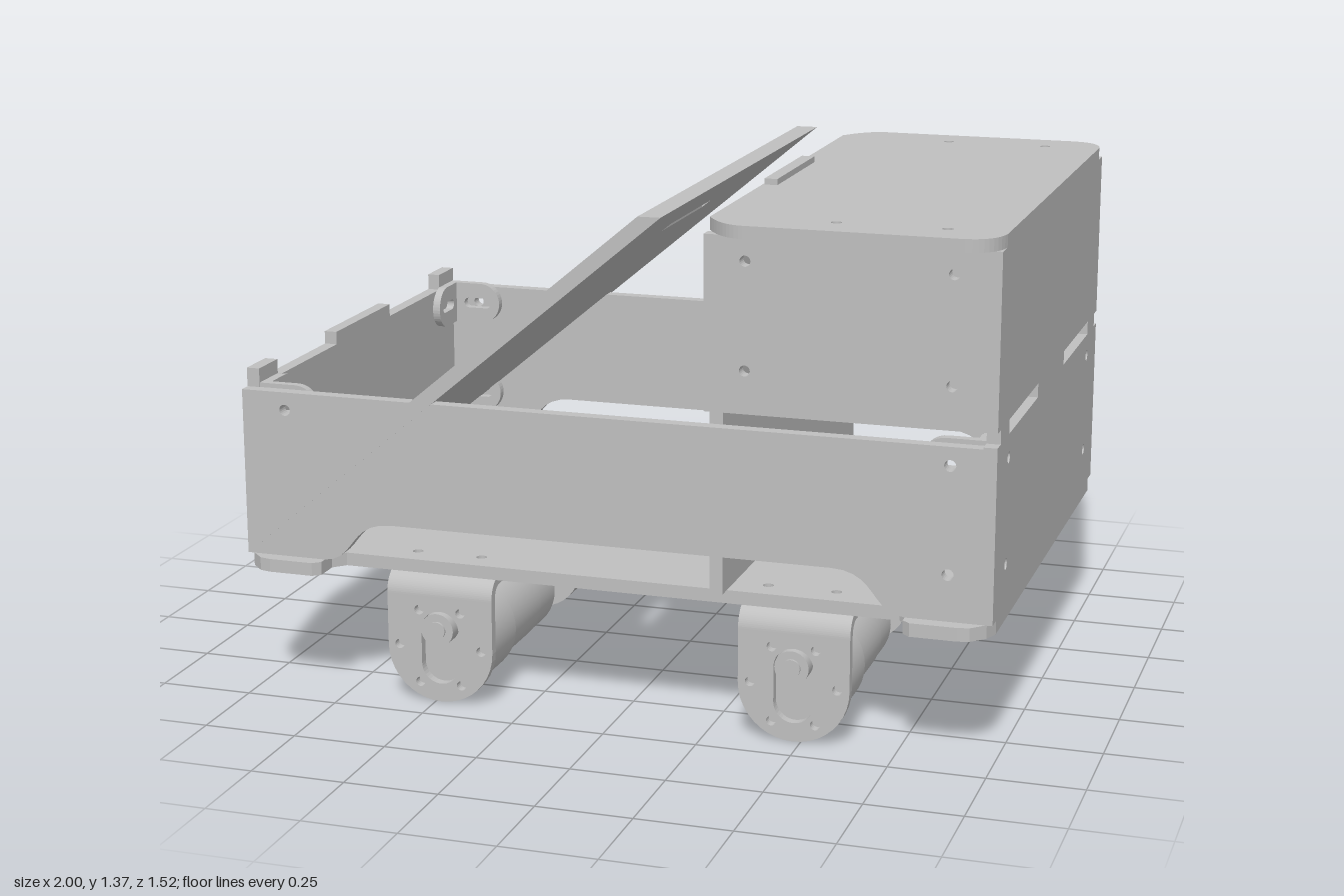
import * as THREE from 'three';

const grey = new THREE.MeshStandardMaterial({ color: 0xbfbfbf });
grey.name = 'plain grey';
const T = 0.035; // sheet thickness

function add(parent, geo, name, x = 0, y = 0, z = 0) {
  const m = new THREE.Mesh(geo, grey);
  m.name = name;
  m.position.set(x, y, z);
  parent.add(m);
  return m;
}
const poly = (pts) => new THREE.Shape(pts.map(([x, y]) => new THREE.Vector2(x, y)));
const extrude = (shape, depth) =>
  new THREE.ExtrudeGeometry(shape, { depth, bevelEnabled: false, curveSegments: 10 });

function hole(shape, x, y, r) {
  shape.holes.push(new THREE.Path().absarc(x, y, r, 0, Math.PI * 2, true));
}
function slot(shape, x0, x1, y0, y1) {
  shape.holes.push(new THREE.Path([[x0, y0], [x0, y1], [x1, y1], [x1, y0]].map((p) => new THREE.Vector2(...p))));
}
// Stadium outline with its long axis along x or y
function stadium(P, x, y, w, h) {
  const p = new P(), r = Math.min(w, h) / 2, dx = w / 2 - r, dy = h / 2 - r, q = Math.PI / 2;
  if (dx > dy) {
    p.absarc(x + dx, y, r, -q, q, false);
    p.absarc(x - dx, y, r, q, 3 * q, false);
  } else {
    p.absarc(x, y + dy, r, 0, 2 * q, false);
    p.absarc(x, y - dy, r, 2 * q, 4 * q, false);
  }
  p.closePath();
  return p;
}
// Sheets lying flat (shape y becomes z) and sheets facing x (shape x becomes z)
const flat = (shape, depth = T) => extrude(shape, depth).rotateX(Math.PI / 2);
const endOn = (shape, depth = T) => extrude(shape, depth).rotateY(-Math.PI / 2);

// Gear motor hanging from a bent bracket, shaft towards +z
function motorUnit() {
  const g = new THREE.Group();
  g.name = 'motorUnit';
  const face = new THREE.Shape();
  face.moveTo(0.147, 0.29);
  face.lineTo(-0.147, 0.29);
  face.lineTo(-0.147, 0.147);
  face.absarc(0, 0.147, 0.147, Math.PI, Math.PI * 2, false);
  face.closePath();
  face.holes.push(stadium(THREE.Path, 0, 0.15, 0.105, 0.2));
  for (const s of [-1, 1])
    for (const [x, y] of [[0.058, 0.25], [0.115, 0.15], [0.058, 0.05]]) hole(face, s * x, y, 0.013);
  add(g, extrude(face, 0.025), 'bracketFace', 0, 0, 0.615);

  const bend = new THREE.Shape();
  bend.moveTo(0.54, 0.35);
  bend.lineTo(0.54, 0.325);
  bend.lineTo(0.58, 0.325);
  bend.absarc(0.58, 0.29, 0.035, Math.PI / 2, 0, true);
  bend.lineTo(0.64, 0.29);
  bend.absarc(0.58, 0.29, 0.06, 0, Math.PI / 2, false);
  bend.closePath();
  add(g, endOn(bend, 0.294), 'bracketBend', 0.147);

  const flange = poly([[-0.147, 0.32], [0.147, 0.32], [0.147, 0.54], [-0.147, 0.54]]);
  for (const x of [-0.09, 0.09]) hole(flange, x, 0.38, 0.014);
  add(g, flat(flange, 0.025), 'bracketFlange', 0, 0.35);

  const round = (r, z0, z1, y, name) =>
    add(g, new THREE.CylinderGeometry(r, r, z1 - z0, 40).rotateX(Math.PI / 2), name, 0, y, (z0 + z1) / 2);
  round(0.137, 0.44, 0.615, 0.152, 'gearbox');
  round(0.127, 0.22, 0.44, 0.152, 'motorBody');
  round(0.125, 0.105, 0.22, 0.152, 'motorCap');
  round(0.045, 0.615, 0.66, 0.205, 'shaftBoss');
  round(0.024, 0.66, 0.667, 0.205, 'shaft');
  return g;
}

// Slotted angle bracket, legs along +x and +z from its corner
function cornerBracket() {
  const g = new THREE.Group();
  g.name = 'cornerBracket';
  const leg = () => {
    const s = new THREE.Shape();
    s.moveTo(0, -0.06);
    s.lineTo(0.1, -0.06);
    s.absarc(0.1, 0, 0.06, -Math.PI / 2, Math.PI / 2, false);
    s.lineTo(0, 0.06);
    s.closePath();
    s.holes.push(stadium(THREE.Path, 0.09, 0, 0.085, 0.03));
    return s;
  };
  add(g, extrude(leg(), 0.025), 'bracketLegLong');
  add(g, endOn(leg(), 0.022), 'bracketLegShort', 0.022);
  return g;
}

export function createModel() {
  const root = new THREE.Group();
  root.name = 'cart';
  const g = new THREE.Group();
  g.name = 'body';
  g.position.z = 0.015;
  root.add(g);

  // Floor sheet, recessed along both sides
  const half = [[1, 0.66], [0.985, 0.7], [0.95, 0.735], [0.92, 0.742], [0.8, 0.742], [0.78, 0.725], [0.78, 0.66], [0.75, 0.63]];
  const frontEdge = [...half, ...half.map(([x, z]) => [-x, z]).reverse()];
  const floor = poly([...frontEdge, ...frontEdge.map(([x, z]) => [-x, -z])]);
  slot(floor, -0.135, -0.105, -0.18, 0.18);
  for (const x of [-0.485, 0.48])
    for (const s of [-1, 1]) for (const d of [-0.09, 0.09]) hole(floor, x + d, s * 0.56, 0.014);
  add(g, flat(floor), 'floor', 0, 0.385);

  // Long lower walls with arched cutouts, and upper box walls
  const wall = new THREE.Shape();
  wall.moveTo(-0.965, 0.385);
  wall.lineTo(-0.78, 0.385);
  wall.bezierCurveTo(-0.69, 0.39, -0.71, 0.495, -0.59, 0.495);
  wall.lineTo(0.59, 0.495);
  wall.bezierCurveTo(0.71, 0.495, 0.69, 0.39, 0.78, 0.385);
  wall.lineTo(0.965, 0.385);
  wall.lineTo(0.965, 0.83);
  wall.lineTo(-0.965, 0.83);
  wall.closePath();
  for (const x of [-0.88, 0.885]) for (const y of [0.505, 0.782]) hole(wall, x, y, 0.015);
  const boxWall = poly([[0.26, 0.87], [0.965, 0.87], [0.965, 1.317], [0.26, 1.317]]);
  for (const x of [0.365, 0.885]) for (const y of [0.98, 1.255]) hole(boxWall, x, y, 0.014);
  for (const [z, side] of [[0.668, 'front'], [-0.703, 'back']]) {
    add(g, extrude(wall, T), side + 'Wall', 0, 0, z);
    add(g, extrude(boxWall, T), side + 'BoxWall', 0, 0, z);
  }

  // Tall end wall with slots and edge notches
  const tall = [[0.703, 0.385], [0.703, 0.835], [0.665, 0.835], [0.665, 0.872], [0.703, 0.872], [0.703, 1.317]];
  const tallWall = poly([...tall, ...tall.map(([z, y]) => [-z, y]).reverse()]);
  // Low end wall with raised tabs
  const low = [[0.703, 0.385], [0.703, 0.83], [0.67, 0.83], [0.67, 0.88], [0.56, 0.88], [0.56, 0.835], [0.185, 0.835], [0.185, 0.87]];
  const lowWall = poly([...low, ...low.map(([z, y]) => [-z, y]).reverse()]);
  for (const s of [-1, 1]) {
    slot(tallWall, s > 0 ? 0.185 : -0.56, s > 0 ? 0.56 : -0.185, 0.835, 0.872);
    for (const y of [0.5, 0.775]) {
      hole(tallWall, s * 0.558, y, 0.015);
      hole(lowWall, s * 0.558, y, 0.015);
    }
  }
  add(g, endOn(tallWall), 'tallEndWall', 1);
  add(g, endOn(lowWall), 'lowEndWall', -0.965);

  // Partition with a tab through the lid
  const partition = poly([[-0.667, 0.385], [0.667, 0.385], [0.667, 1.317], [0.185, 1.317],
    [0.185, 1.366], [-0.185, 1.366], [-0.185, 1.317], [-0.667, 1.317]]);
  add(g, endOn(partition), 'partition', 0.3);

  // Lid with rounded corners
  const lid = new THREE.Shape();
  lid.moveTo(1, -0.65);
  lid.lineTo(1, 0.65);
  lid.quadraticCurveTo(0.99, 0.742, 0.9, 0.742);
  lid.lineTo(0.37, 0.742);
  lid.quadraticCurveTo(0.31, 0.742, 0.26, 0.65);
  lid.lineTo(0.26, -0.65);
  lid.quadraticCurveTo(0.31, -0.742, 0.37, -0.742);
  lid.lineTo(0.9, -0.742);
  lid.quadraticCurveTo(0.99, -0.742, 1, -0.65);
  for (const x of [0.575, 0.85]) for (const z of [-0.632, 0.632]) hole(lid, x, z, 0.014);
  add(g, flat(lid, 0.033), 'lid', 0, 1.35);

  // Sloping sheet: a flat sheet sheared upwards, its top edge cut level
  const ramp = new THREE.Shape();
  ramp.moveTo(-0.964, 0.704);
  ramp.lineTo(-0.964, -0.69);
  ramp.quadraticCurveTo(-0.92, -0.775, -0.86, -0.775);
  ramp.lineTo(0.15, -0.775);
  ramp.lineTo(0.15, 0.704);
  ramp.closePath();
  slot(ramp, -0.018, 0.007, -0.182, 0.182);
  const rampGeo = flat(ramp, 0.05);
  const p = rampGeo.attributes.position;
  for (let i = 0; i < p.count; i++) {
    const top = p.getY(i) > -0.025;
    if (top && p.getX(i) > 0.14) p.setX(i, 0.09);
    p.setY(i, 1.35 + 0.84 * (p.getX(i) - 0.15) + (top ? 0.05 : 0));
  }
  rampGeo.computeVertexNormals();
  add(g, rampGeo, 'slopingSheet');

  // Angle brackets in the four corners; half turns plus swapped legs fit each corner
  for (const y of [0.505, 0.782]) {
    [[-0.965, -0.668, 0], [-0.965, 0.668, 1], [0.965, 0.668, 2], [0.965, -0.668, 3]].forEach(([x, z, k]) => {
      const b = cornerBracket();
      b.position.set(x, y, z);
      b.rotation.y = (k * Math.PI) / 2;
      g.add(b);
    });
  }

  // Four motors
  for (const x of [-0.485, 0.48])
    for (const turn of [0, Math.PI]) {
      const m = motorUnit();
      m.position.x = x;
      m.rotation.y = turn;
      g.add(m);
    }
  return root;
}
